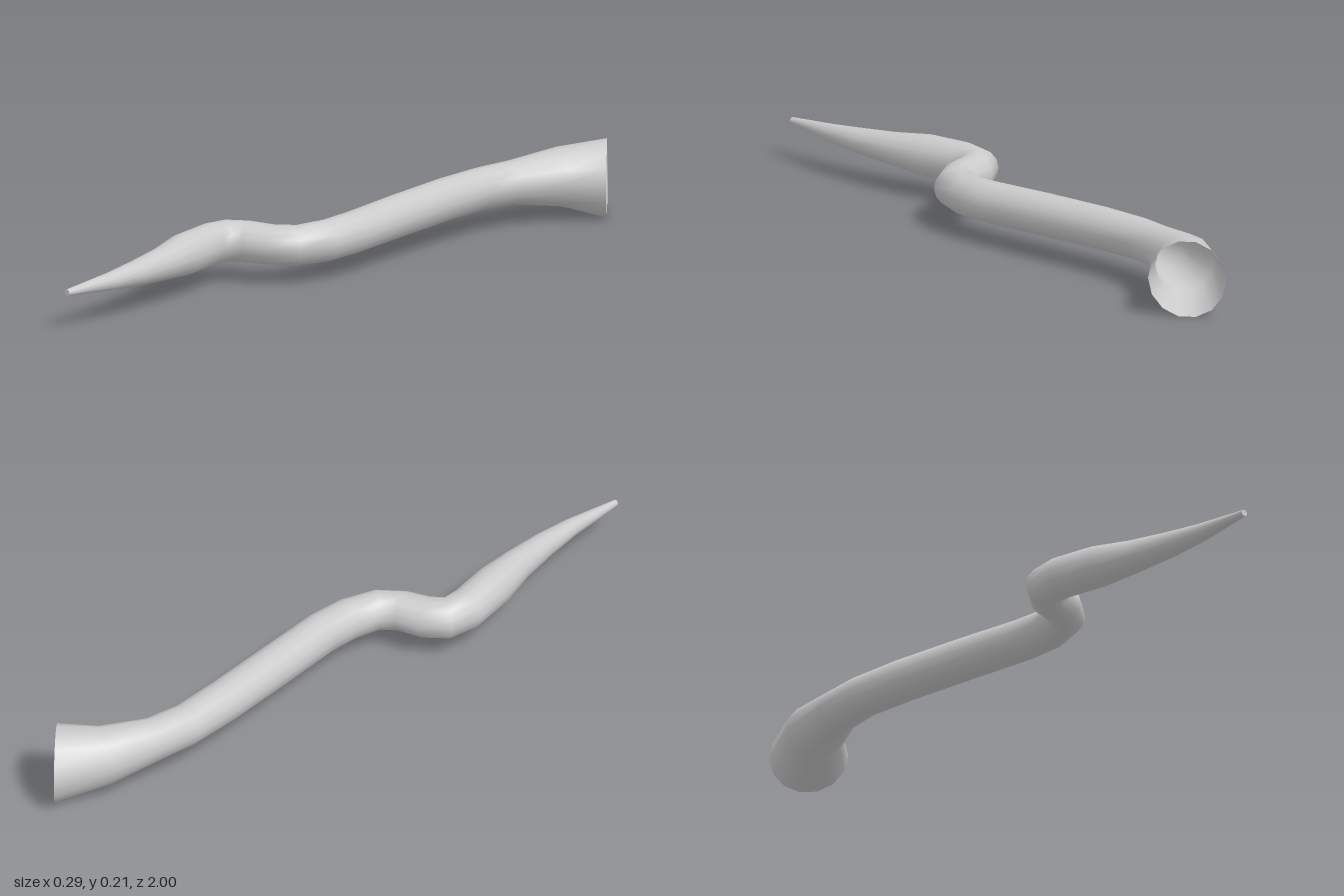
import * as THREE from 'three';

const SIDES = 14;

// Rings from the wide open root to the tip: x, y, z, radius, heading in degrees
const RINGS = [
  [0.067, 0.107, -0.928, 0.106, -43],
  [0.0, 0.117, -0.815, 0.08, -20],
  [-0.03, 0.12, -0.67, 0.059, -8],
  [-0.034, 0.12, -0.56, 0.057, 2],
  [-0.012, 0.119, -0.41, 0.058, 10],
  [0.03, 0.116, -0.2, 0.058, 12],
  [0.072, 0.112, 0, 0.057, 8],
  [0.081, 0.109, 0.1, 0.056, -5],
  [0.065, 0.108, 0.19, 0.054, -30],
  [0.018, 0.109, 0.237, 0.054, -62],
  [-0.047, 0.11, 0.265, 0.056, -60],
  [-0.088, 0.112, 0.305, 0.056, -28],
  [-0.088, 0.112, 0.37, 0.057, 8],
  [-0.053, 0.112, 0.49, 0.057, 18],
  [-0.018, 0.111, 0.6, 0.045, 16],
  [0.01, 0.11, 0.72, 0.035, 12],
  [0.028, 0.109, 0.83, 0.025, 8],
  [0.041, 0.108, 1, 0.009, 2],
];

// Skin a closed strip of quads over the rings, sharing vertices for smooth normals
function loft(rings) {
  const positions = [];
  const index = [];
  rings.forEach(([x, y, z, r, heading], i) => {
    const h = THREE.MathUtils.degToRad(heading);
    for (let j = 0; j < SIDES; j++) {
      const a = (j / SIDES) * Math.PI * 2;
      const across = r * Math.cos(a);
      positions.push(x + across * Math.cos(h), y + r * Math.sin(a), z - across * Math.sin(h));
      if (i === rings.length - 1) continue;
      const p = i * SIDES + j;
      const q = i * SIDES + ((j + 1) % SIDES);
      index.push(p, q, p + SIDES, q, q + SIDES, p + SIDES);
    }
  });
  const geometry = new THREE.BufferGeometry();
  geometry.setAttribute('position', new THREE.Float32BufferAttribute(positions, 3));
  geometry.setIndex(index);
  geometry.computeVertexNormals();
  return geometry;
}

export function createModel() {
  const group = new THREE.Group();
  group.name = 'tail';
  const material = new THREE.MeshStandardMaterial({ color: 0xcccccc, side: THREE.DoubleSide });

  // Winding body, open at the flared root
  const body = new THREE.Mesh(loft(RINGS), material);
  body.name = 'tailBody';
  group.add(body);

  // Small flat cap closing the tip
  const [x, y, z, r, heading] = RINGS[RINGS.length - 1];
  const tip = new THREE.Mesh(new THREE.CircleGeometry(r, SIDES), material);
  tip.name = 'tailTip';
  tip.position.set(x, y, z);
  tip.rotation.y = THREE.MathUtils.degToRad(heading);
  group.add(tip);

  return group;
}
